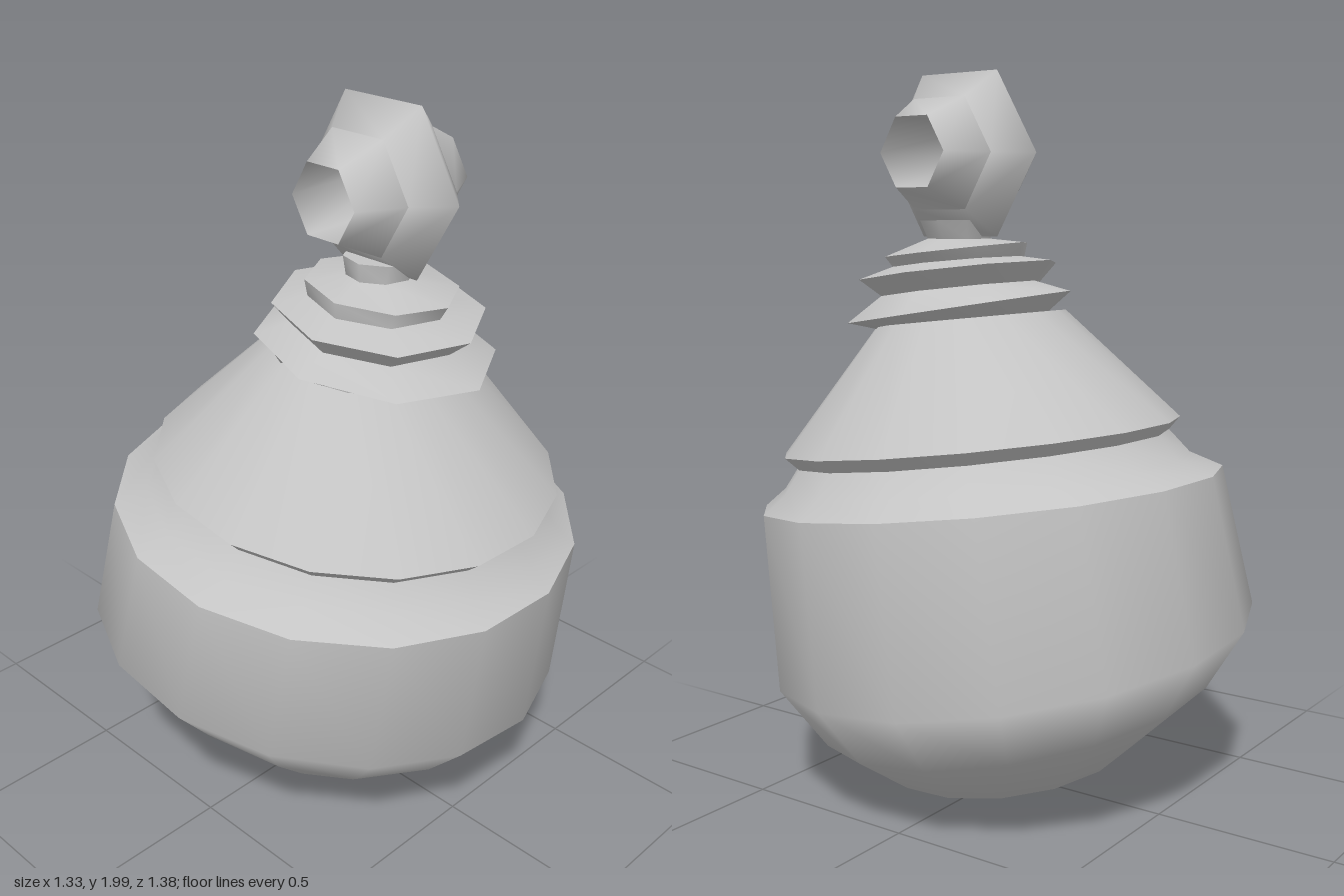
import * as THREE from 'three';

const ceramic = new THREE.MeshStandardMaterial({ color: 0xc4c4c4, side: THREE.DoubleSide });
ceramic.name = 'pale grey';

// Joins tilted rings into one smooth band.
// Ring: [centre x, y, z, radius, slope along x, slope along z], bottom to top.
function band(name, rings, sides, phase) {
  const pos = [], index = [];
  for (const [cx, cy, cz, r, sx = 0, sz = 0] of rings) {
    for (let i = 0; i < sides; i++) {
      const a = phase + (i / sides) * Math.PI * 2;
      const x = r * Math.cos(a), z = -r * Math.sin(a);
      pos.push(cx + x, cy + sx * x + sz * z, cz + z);
    }
  }
  for (let k = 0; k < rings.length - 1; k++) {
    for (let i = 0; i < sides; i++) {
      const j = (i + 1) % sides, a = k * sides, b = a + sides;
      index.push(a + i, a + j, b + i, a + j, b + j, b + i);
    }
  }
  const geo = new THREE.BufferGeometry();
  geo.setAttribute('position', new THREE.Float32BufferAttribute(pos, 3));
  geo.setIndex(index);
  geo.computeVertexNormals();
  const mesh = new THREE.Mesh(geo, ceramic);
  mesh.name = name;
  return mesh;
}

export function createModel() {
  const model = new THREE.Group();
  model.name = 'stopperedPot';

  // Lopsided round pot and its sloping shoulder
  const rim = [0.01, 0.855, 0.05, 0.65, 0, -0.117];
  const groove = [0.02, 0.965, 0.075, 0.525, 0, -0.125];
  const lip = [0.02, 1.0, 0.08, 0.56, 0, -0.12];
  const pot = [
    ['bowl', [
      [0.12, 0.005, 0.06, 0],
      [0.1, 0.025, 0.04, 0.13, -0.07, -0.03],
      [0, 0.11, 0, 0.37, -0.12, -0.06],
      [0.02, 0.27, -0.05, 0.555, -0.1, -0.15],
      [0, 0.43, -0.02, 0.675, -0.09, -0.12],
      rim,
    ]],
    ['rimBevel', [rim, [0.02, 0.9, 0.065, 0.575, 0, -0.12], groove]],
    ['lidUnderside', [groove, lip]],
    ['shoulder', [lip, [0.04, 1.33, 0.1, 0.265, 0, -0.11]]],
  ];
  const potPhase = THREE.MathUtils.degToRad(9.5);
  for (const [name, rings] of pot) model.add(band(name, rings, 16, potPhase));

  // Neck with stacked sharp flanges
  const neckRings = [
    [0.04, 1.31, 0.12, 0.22, 0, -0.1],
    [0.03, 1.36, 0.14, 0.325, -0.04, -0.15],
    [0.03, 1.41, 0.14, 0.23, 0, -0.12],
    [0.04, 1.46, 0.14, 0.285, 0, -0.12],
    [0.04, 1.485, 0.14, 0.19, 0, -0.1],
    [0.05, 1.52, 0.14, 0.205, -0.04, -0.1],
    [0.04, 1.55, 0.14, 0.09],
    [0.05, 1.6, 0.14, 0.105],
    [0.05, 1.6, 0.14, 0],
  ];
  const neck = new THREE.Group();
  neck.name = 'neck';
  for (let i = 0; i < neckRings.length - 1; i++) {
    neck.add(band('neckFlange', neckRings.slice(i, i + 2), 8, 0.12));
  }
  model.add(neck);

  // Six-sided bead knob with an open bore, laid along x
  const hex = (y, r) => [0, y, 0, r];
  const knob = new THREE.Group();
  knob.name = 'knob';
  for (const [name, rings] of [
    ['knobEnd', [hex(-0.21, 0.107), hex(-0.09, 0.172)]],
    ['knobMiddle', [hex(-0.09, 0.172), hex(0, 0.256), hex(0.09, 0.172)]],
    ['knobEnd', [hex(0.09, 0.172), hex(0.21, 0.107)]],
    ['knobBore', [hex(0.21, 0.107), hex(-0.21, 0.107)]],
  ]) knob.add(band(name, rings, 6, Math.PI / 6));
  knob.rotation.z = -Math.PI / 2;
  knob.position.set(0.05, 1.778, 0.13);
  model.add(knob);

  return model;
}
